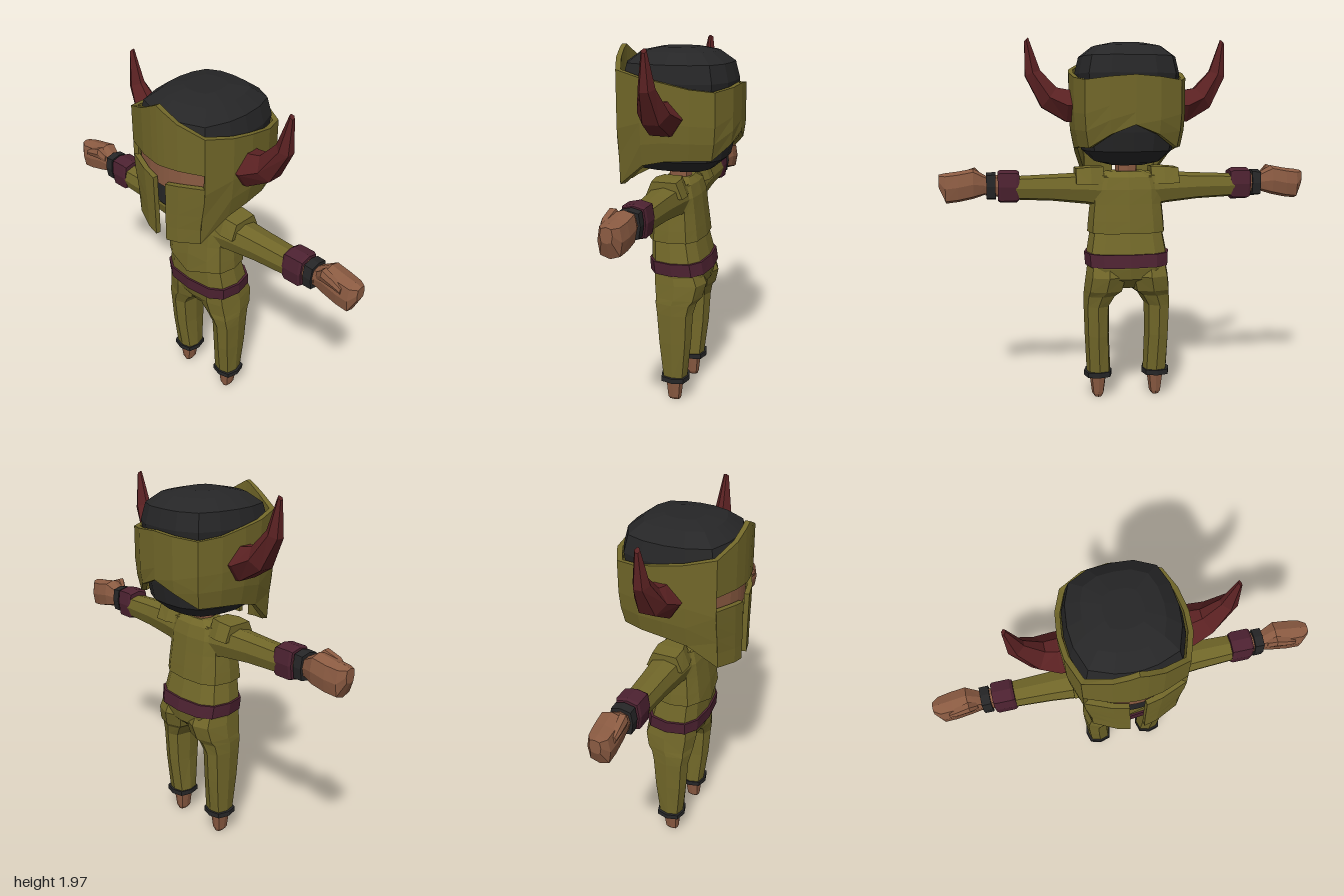
import * as THREE from 'three';

const mat = (name, color) => Object.assign(new THREE.MeshStandardMaterial({ color }), { name });

// Faceted skin through closed rings of [x, y, z] points, capped at both ends and wound outward
function loft(rings) {
  const n = rings[0].length, tris = [];
  for (let r = 0; r + 1 < rings.length; r++) {
    for (let i = 0; i < n; i++) {
      const j = (i + 1) % n, a = rings[r], b = rings[r + 1];
      tris.push([a[i], a[j], b[j]], [a[i], b[j], b[i]]);
    }
  }
  const cap = (ring, flip) => {
    const c = [0, 1, 2].map(k => ring.reduce((s, p) => s + p[k], 0) / n);
    ring.forEach((p, i) => {
      const q = ring[(i + 1) % n];
      tris.push(flip ? [c, q, p] : [c, p, q]);
    });
  };
  cap(rings[0], true);
  cap(rings[rings.length - 1], false);
  let volume = 0;
  for (const [a, b, c] of tris) {
    volume += a[0] * (b[1] * c[2] - b[2] * c[1]) + a[1] * (b[2] * c[0] - b[0] * c[2]) + a[2] * (b[0] * c[1] - b[1] * c[0]);
  }
  if (volume < 0) tris.forEach(t => t.reverse());
  const g = new THREE.BufferGeometry();
  g.setAttribute('position', new THREE.Float32BufferAttribute(tris.flat(2), 3));
  g.computeVertexNormals();
  return g;
}

// Rounded-square loop of [u, v] between two limits on each axis, starting at the middle of +v
function loop(u0, u1, v0, v1, n, power = 0.7) {
  const soft = t => Math.sign(t) * Math.pow(Math.abs(t), power);
  return Array.from({ length: n }, (_, i) => {
    const a = (i / n) * Math.PI * 2;
    return [(u0 + u1) / 2 + soft(Math.sin(a)) * (u1 - u0) / 2, (v0 + v1) / 2 + soft(Math.cos(a)) * (v1 - v0) / 2];
  });
}
const ringY = (n, p) => ([y, x0, x1, z0, z1]) => loop(x0, x1, z0, z1, n, p).map(([x, z]) => [x, y, z]);
const ringX = (n, p) => ([x, y0, y1, z0, z1]) => loop(y0, y1, z0, z1, n, p).map(([y, z]) => [x, y, z]);

// Head plan from front centre to back centre: x, z, helmet bottom, helmet top
const PLAN = [
  [0, 0.33, 1.21, 1.95], [0.042, 0.328, 1.21, 1.93], [0.12, 0.315, 1.22, 1.89],
  [0.25, 0.265, 1.24, 1.84], [0.30, 0.12, 1.36, 1.81], [0.31, 0, 1.39, 1.79],
  [0.295, -0.14, 1.40, 1.76], [0.25, -0.26, 1.40, 1.745], [0.13, -0.32, 1.47, 1.76], [0, -0.33, 1.52, 1.77],
];
function headPoint(col, y, s) {
  const [x, z] = PLAN[Math.abs(col)];
  const k = 1 - 0.13 * Math.min(1, Math.max(0, (1.52 - y) / 0.2));
  return [(col < 0 ? -x : x) * s * k, y, z * s * (z < 0 ? k : 1)];
}

// Curved plate with thickness, following the head plan
function plate(cols, bottom, top, outer = 1, inner = 0.92) {
  const rows = [0, 0.25, 0.5, 0.75, 1];
  return loft(cols.map(c => {
    const i = Math.abs(c), ys = rows.map(t => bottom(i) + (top(i) - bottom(i)) * t);
    return [...ys.map(y => headPoint(c, y, outer)), ...ys.reverse().map(y => headPoint(c, y, inner))];
  }));
}

export function createModel() {
  const olive = mat('olive cloth', 0x716729);
  const skin = mat('skin', 0x8b5b42);
  const dark = mat('charcoal', 0x262627);
  const maroon = mat('maroon trim', 0x4d2231);
  const red = mat('horn red', 0x5a2122);

  const model = new THREE.Group();
  model.name = 'hornedWarrior';
  const add = (name, geometry, material) => {
    const m = new THREE.Mesh(geometry, material);
    m.name = name;
    model.add(m);
  };
  // Adds a part built on the left and its mirrored twin
  const pair = (name, rings, material) => {
    add('left' + name, loft(rings), material);
    add('right' + name, loft(rings.map(r => r.map(([x, y, z]) => [-x, y, z]))), material);
  };

  // Head
  const around = [0, 1, 2, 3, 4, 5, 6, 7, 8, 9, -8, -7, -6, -5, -4, -3, -2, -1];
  const skull = [[1.30, 0.35], [1.32, 0.65], [1.38, 0.86], [1.48, 0.86], [1.68, 0.86], [1.78, 0.9],
    [1.87, 0.83], [1.925, 0.6], [1.945, 0.3]];
  add('head', loft(skull.map(([y, s]) => around.map(c => headPoint(c, y, s)))), dark);
  add('eyeBand', plate([-3, -2, -1, 0, 1, 2, 3], () => 1.5, () => 1.68, 0.9, 0.84), skin);

  // Helmet: brow, two cheek guards and the wrap around the sides and back
  const low = i => PLAN[i][2], high = i => PLAN[i][3];
  add('helmetBrow', plate([-3, -2, -1, 0, 1, 2, 3], i => 1.635 + i * 0.004, high), olive);
  add('helmetWrap', plate([3, 4, 5, 6, 7, 8, 9, -8, -7, -6, -5, -4, -3], low, high), olive);
  add('leftCheekGuard', plate([1, 2, 3], low, i => 1.53 + i * 0.014), olive);
  add('rightCheekGuard', plate([-1, -2, -3], low, i => 1.53 + i * 0.014), olive);

  // Horns: inner edge, outer edge and half depth of each section
  const hornSections = [
    [0.28, 1.70, 0.28, 1.53, 0.11], [0.32, 1.70, 0.325, 1.53, 0.11], [0.375, 1.71, 0.455, 1.605, 0.085],
    [0.46, 1.80, 0.54, 1.77, 0.045], [0.52, 1.97, 0.54, 1.95, 0.015],
  ];
  const hornShape = [[0, 0.3], [0.5, 1], [1, 0.5], [1, -0.5], [0.5, -1], [0, -0.3]];
  pair('Horn', hornSections.map(([x0, y0, x1, y1, h]) =>
    hornShape.map(([t, w]) => [x0 + (x1 - x0) * t, y0 + (y1 - y0) * t, w * h])), red);

  // Neck and tunic, with a pointed hem at the front
  add('neck', loft([[1.2, -0.06, 0.06, -0.06, 0.06], [1.36, -0.06, 0.06, -0.06, 0.06]].map(ringY(8))), skin);
  const tunic = [
    [0.935, -0.215, 0.215, -0.15, 0.15], [1.0, -0.21, 0.21, -0.142, 0.142], [1.09, -0.2, 0.2, -0.13, 0.13],
    [1.17, -0.2, 0.2, -0.12, 0.12], [1.235, -0.18, 0.18, -0.1, 0.1], [1.265, -0.1, 0.1, -0.07, 0.07],
  ].map(ringY(12));
  tunic[0][0][1] = 0.882;
  add('tunic', loft(tunic), olive);

  // Hips and belt
  add('hips', loft([
    [0.63, -0.14, 0.14, -0.1, 0.07], [0.69, -0.215, 0.215, -0.17, 0.11], [0.75, -0.222, 0.222, -0.18, 0.125],
    [0.83, -0.222, 0.222, -0.165, 0.135], [0.95, -0.2, 0.2, -0.135, 0.135],
  ].map(ringY(12))), olive);
  add('belt', loft([[0.755, -0.23, 0.23, -0.19, 0.142], [0.825, -0.235, 0.235, -0.178, 0.145]].map(ringY(12))), maroon);

  // Legs
  pair('TrouserLeg', [
    [0.14, 0.092, 0.225, -0.09, 0.045], [0.36, 0.1, 0.235, -0.115, 0.072], [0.53, 0.098, 0.24, -0.125, 0.085],
    [0.59, 0.06, 0.24, -0.14, 0.097], [0.62, 0.02, 0.238, -0.165, 0.1], [0.70, 0, 0.228, -0.185, 0.112],
    [0.78, 0.01, 0.215, -0.15, 0.11],
  ].map(ringY(8)), olive);
  pair('AnkleCuff', [[0.125, 0.085, 0.24, -0.103, 0.057], [0.153, 0.085, 0.24, -0.103, 0.057]].map(ringY(8)), dark);
  pair('Foot', [
    [0, 0.142, 0.182, -0.05, 0.012], [0.018, 0.13, 0.195, -0.057, 0.02], [0.13, 0.115, 0.21, -0.07, 0.03],
  ].map(ringY(8)), skin);

  // Arms
  pair('Sleeve', [
    [0.1, 1.06, 1.265, -0.1, 0.1], [0.22, 1.085, 1.258, -0.09, 0.09],
    [0.4, 1.105, 1.25, -0.077, 0.075], [0.6, 1.115, 1.242, -0.07, 0.065],
  ].map(ringX(8)), olive);
  pair('ShoulderPad', [[0.13, 0.05], [0.2, 0.07], [0.28, 0.066]].map(([x, w]) => {
    const t = x > 0.27 ? 1.283 : 1.29;
    return [[x, t, w], [x, 1.2, w + 0.035], [x, 1.2, -w - 0.035], [x, t, -w]];
  }), olive);
  pair('ForearmBand', [
    [0.58, 1.112, 1.265, -0.065, 0.065], [0.595, 1.1, 1.275, -0.07, 0.07],
    [0.68, 1.1, 1.275, -0.07, 0.07], [0.693, 1.108, 1.268, -0.063, 0.063],
  ].map(ringX(8, 0.5)), maroon);
  pair('Wrist', [[0.68, 1.13, 1.25, -0.05, 0.05], [0.76, 1.14, 1.245, -0.048, 0.048]].map(ringX(8)), skin);
  pair('WristBand', [[0.705, 1.118, 1.265, -0.06, 0.06], [0.753, 1.118, 1.262, -0.06, 0.06]].map(ringX(8, 0.5)), dark);

  // Fists with thumbs folded across the front
  pair('Fist', [
    [0.75, 1.148, 1.242, -0.045, 0.045], [0.82, 1.125, 1.285, -0.072, 0.055], [0.9, 1.108, 1.27, -0.07, 0.06],
    [0.965, 1.1, 1.262, -0.06, 0.058], [1.0, 1.18, 1.255, -0.03, 0.03],
  ].map(ringX(8, 0.6)), skin);
  pair('Thumb', [
    [0.775, 1.2, 1.25, 0.02, 0.05], [0.815, 1.22, 1.29, 0.02, 0.072], [0.89, 1.215, 1.262, 0.03, 0.074],
    [0.925, 1.2, 1.235, 0.035, 0.065],
  ].map(ringX(6)), skin);

  return model;
}
